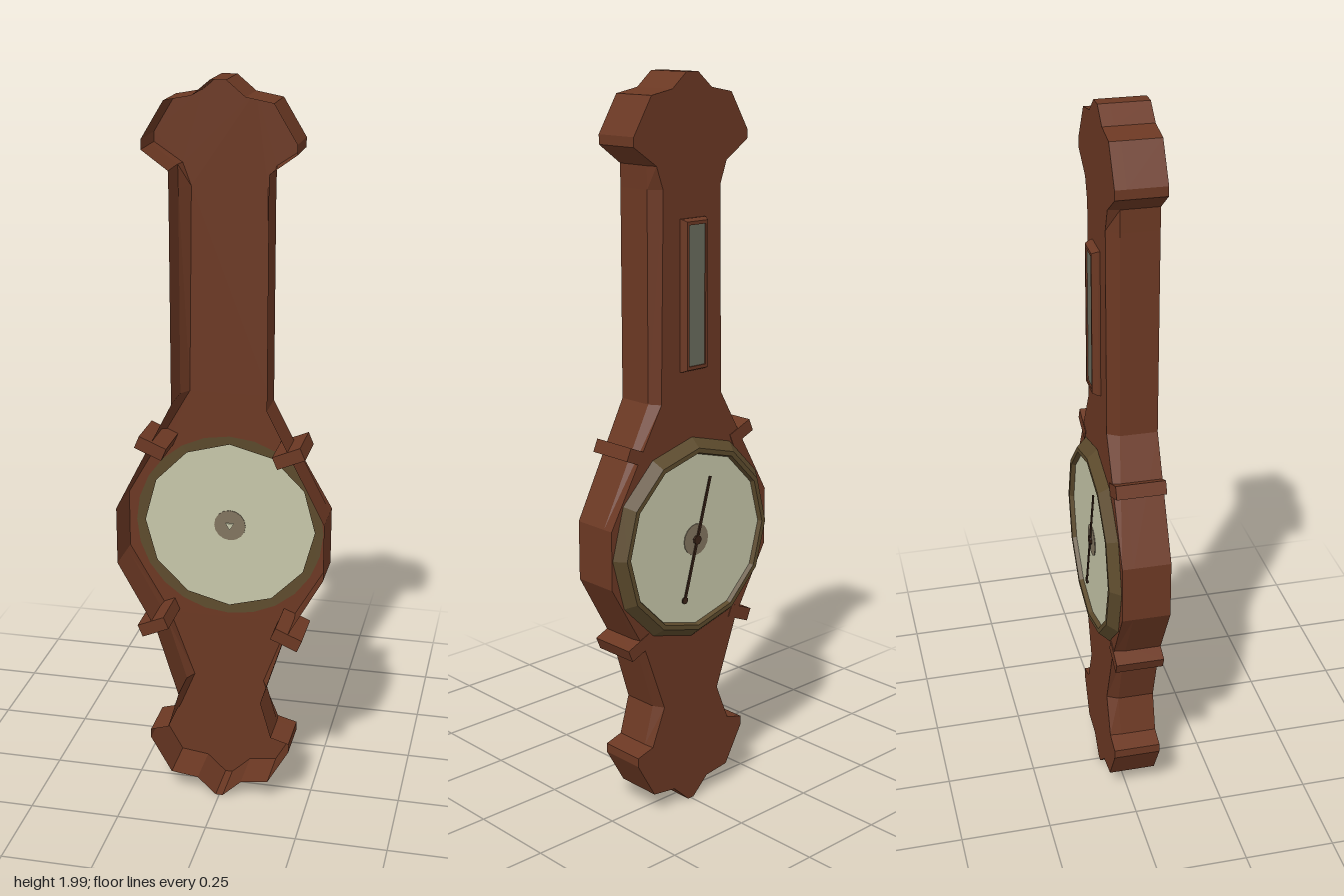
import * as THREE from 'three';

const DIAL_Y = 0.775;

function material(name, color) {
  return new THREE.MeshStandardMaterial({ name, color, flatShading: true, side: THREE.DoubleSide });
}

// Half outline, top to bottom: x at the wall, y, x at the front plate
const HALF = [
  [0.02, 1.995, 0.02], [0.068, 1.955, 0.068], [0.138, 1.942, 0.138], [0.197, 1.845, 0.197],
  [0.197, 1.82, 0.197], [0.128, 1.77, 0.122], [0.127, 1.71, 0.1], [0.127, 1.16, 0.108],
  [0.283, 0.855, 0.283], [0.283, 0.695, 0.283], [0.175, 0.5, 0.17], [0.116, 0.31, 0.1],
  [0.146, 0.205, 0.143], [0.197, 0.19, 0.197], [0.197, 0.165, 0.197], [0.138, 0.062, 0.138],
  [0.062, 0.052, 0.062], [0.01, 0.003, 0.01],
];

function outline(column) {
  const right = HALF.map((p) => [p[column], p[1]]);
  const left = right.map(([x, y]) => [-x, y]).reverse();
  return [...right, ...left];
}

// Joins closed loops of equal length into a band of quads
function band(loops) {
  const n = loops[0].length;
  const positions = loops.flat(2);
  const index = [];
  for (let r = 0; r < loops.length - 1; r++) {
    for (let i = 0; i < n; i++) {
      const j = (i + 1) % n;
      const a = r * n + i, b = r * n + j, c = a + n, d = b + n;
      index.push(a, c, b, b, c, d);
    }
  }
  const geometry = new THREE.BufferGeometry();
  geometry.setAttribute('position', new THREE.Float32BufferAttribute(positions, 3));
  geometry.setIndex(index);
  geometry.computeVertexNormals();
  return geometry;
}

export function createModel() {
  const wood = material('wood', 0x6b3823);
  const brass = material('agedBrass', 0x5c4a2c);
  const cream = material('dialCream', 0xc6c6a8);
  const hubGrey = material('hubGrey', 0x81745f);
  const glass = material('thermometerGlass', 0x686a5c);
  const dark = material('needleBrown', 0x3a2417);

  const model = new THREE.Group();
  model.name = 'wallBarometer';
  const add = (name, geometry, mat, x = 0, y = 0, z = 0, parent = model) => {
    const mesh = new THREE.Mesh(geometry, mat);
    mesh.name = name;
    mesh.position.set(x, y, z);
    parent.add(mesh);
    return mesh;
  };
  const disc = (radius, depth, sides) =>
    new THREE.CylinderGeometry(radius, radius, depth, sides).rotateX(Math.PI / 2);

  // Case walls, open at +z, with a chamfer towards the plate
  const wall = outline(0), face = outline(2);
  const at = (loop, z) => loop.map(([x, y]) => [x, y, z]);
  add('caseWalls', band([at(wall, 0.08), at(wall, -0.02), at(face, -0.05)]), wood);

  // Plate with a round opening for the dial
  const plate = new THREE.Shape(face.map(([x, y]) => new THREE.Vector2(x, y)));
  const opening = new THREE.Path();
  opening.absarc(0, DIAL_Y, 0.262, 0, Math.PI * 2, true);
  plate.holes.push(opening);
  add('casePlate', new THREE.ShapeGeometry(plate, 12), wood, 0, 0, -0.05);

  // Four small scroll ends beside the dial
  for (const side of [-1, 1]) {
    for (const [y, tilt] of [[1.034, 0.4], [0.511, -0.4]]) {
      const knob = add('sideScroll', new THREE.BoxGeometry(0.08, 0.036, 0.132), wood, side * 0.186, y, 0.014);
      knob.rotation.z = side * tilt;
    }
  }

  // Faceted bezel
  const ring = (radius, z) => Array.from({ length: 12 }, (_, i) => {
    const a = (i / 12) * Math.PI * 2;
    return [radius * Math.cos(a), radius * Math.sin(a), z];
  });
  const bezel = [ring(0.238, -0.053), ring(0.281, -0.051), ring(0.256, -0.079), ring(0.243, -0.079), ring(0.238, -0.066)];
  add('bezel', band(bezel), brass, 0, DIAL_Y, 0);

  // Dial, hub and needle
  add('dial', disc(0.242, 0.008, 12), cream, 0, DIAL_Y, -0.063);
  add('hub', disc(0.044, 0.012, 16), hubGrey, 0, DIAL_Y, -0.063);
  add('hubPin', disc(0.013, 0.016, 3), cream, 0, DIAL_Y, -0.061);
  const needle = new THREE.Group();
  needle.name = 'needle';
  needle.position.set(0, DIAL_Y, -0.073);
  needle.rotation.z = 0.274;
  model.add(needle);
  add('needleShaft', new THREE.BoxGeometry(0.007, 0.35, 0.004), dark, 0, 0, 0, needle);
  add('needleTail', disc(0.01, 0.004, 8), dark, 0, -0.168, 0, needle);
  add('needleCentre', disc(0.013, 0.006, 8), dark, 0, 0, 0, needle);

  // Thermometer: bevelled frame with a glass strip
  const box = (w, h, z) => [[w, h, z], [w, -h, z], [-w, -h, z], [-w, h, z]];
  const frame = [box(0.043, 0.198, -0.05), box(0.043, 0.198, -0.056), box(0.036, 0.192, -0.071),
    box(0.029, 0.183, -0.071), box(0.029, 0.183, -0.064)];
  add('thermometerFrame', band(frame), wood, 0, 1.435, 0);
  add('thermometerGlass', new THREE.BoxGeometry(0.06, 0.368, 0.006), glass, 0, 1.435, -0.064);

  return model;
}
